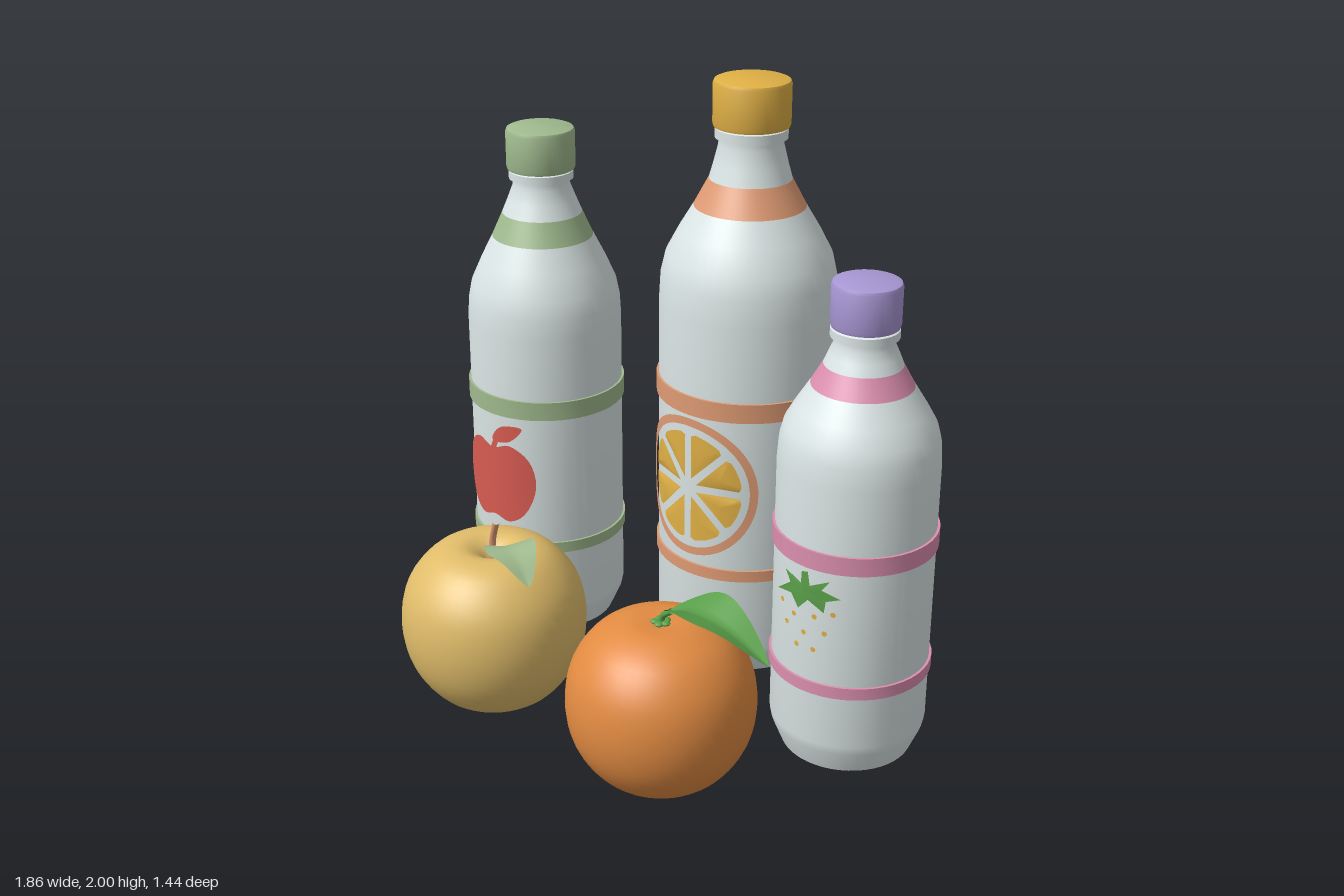
import * as THREE from 'three';
import { toCreasedNormals, mergeGeometries } from 'three/addons/utils/BufferGeometryUtils.js';

const mat = (name, color, side = THREE.FrontSide) => {
  const m = new THREE.MeshStandardMaterial({ color, side });
  m.name = name;
  return m;
};
const V2 = (p) => new THREE.Vector2(p[0], p[1]);
const V3 = (p) => new THREE.Vector3(p[0], p[1], p[2]);

export function createModel() {
  const white = mat('bottleWhite', 0xdce6e6);
  const yellow = mat('capYellow', 0xe0b045);
  const peach = mat('peach', 0xdf9b74);
  const sage = mat('sageGreen', 0xa0ba8e, THREE.DoubleSide);
  const pink = mat('pink', 0xdb8fae);
  const purple = mat('purple', 0xa897d4);
  const red = mat('red', 0xd85c52);
  const golden = mat('goldenFruit', 0xe0bc6a);
  const orange = mat('orangeFruit', 0xe28b42);
  const leafGreen = mat('leafGreen', 0x5a9f4a, THREE.DoubleSide);

  const model = new THREE.Group();
  const add = (parent, name, geo, material) => {
    const mesh = new THREE.Mesh(geo, material);
    mesh.name = name;
    parent.add(mesh);
    return mesh;
  };
  // profile of [radius, height] points, listed from bottom to top
  const lathe = (pts, crease = 0.5) =>
    toCreasedNormals(new THREE.LatheGeometry(pts.map(V2), 48), crease);

  // --- printed pictures: flat (u, v) sheets wrapped round a bottle ---
  const wrap = (geo, R, cy) => {
    const p = geo.attributes.position;
    for (let i = 0; i < p.count; i++) {
      const a = p.getX(i) / R;
      p.setXYZ(i, R * Math.sin(a), cy + p.getY(i), R * Math.cos(a));
    }
    geo.computeVertexNormals();
    return geo;
  };
  // counter-clockwise outline filled by rings growing from a centre point
  const patch = (outline, c, rings = 6) => {
    const pos = [], idx = [], n = outline.length;
    for (let k = 0; k <= rings; k++)
      for (const [x, y] of outline)
        pos.push(c[0] + (x - c[0]) * k / rings, c[1] + (y - c[1]) * k / rings, 0);
    for (let k = 0; k < rings; k++)
      for (let i = 0; i < n; i++) {
        const j = (i + 1) % n, a = k * n, b = a + n;
        if (k > 0) idx.push(a + i, b + j, a + j);
        idx.push(a + i, b + i, b + j);
      }
    const g = new THREE.BufferGeometry();
    g.setAttribute('position', new THREE.Float32BufferAttribute(pos, 3));
    g.setIndex(idx);
    return g;
  };
  const smooth = (pts, n = 48) =>
    new THREE.CatmullRomCurve3(pts.map(([x, y]) => new THREE.Vector3(x, y, 0)), true)
      .getPoints(n).slice(0, n).map((p) => [p.x, p.y]);

  // --- bottles ---
  function bottle({ name, x, z, R, base, shoulder, band, neck, cap, capR, stripes, trim, capMat }) {
    const g = new THREE.Group();
    g.name = name;
    g.position.set(x, 0, z);
    add(g, 'body', lathe([[0, 0], [base, 0], [R - 0.006, 0.08], [R, 0.11], ...shoulder, band[0]], 0.6), white);
    add(g, 'shoulderBand', lathe(band), trim);
    const [nr, ny] = neck;
    add(g, 'neck', lathe([band[1], [(band[1][0] + nr) / 2, (band[1][1] * 0.6 + ny * 0.4)], [nr, ny - 0.02],
      [nr, ny], [nr + 0.012, ny + 0.003], [nr + 0.012, cap[0] - 0.006], [nr, cap[0]], [nr, cap[0] + 0.02]]), white);
    const [c0, c1] = cap;
    add(g, 'cap', lathe([[nr, c0], [capR - 0.003, c0], [capR, c0 + 0.01], [capR, c1 - 0.014],
      [capR - 0.004, c1 - 0.004], [capR - 0.014, c1], [0, c1]]), capMat);
    for (const [y0, y1] of stripes)
      add(g, 'stripe', lathe([[R, y0], [R + 0.008, y0], [R + 0.008, y1], [R, y1]]), trim);
    model.add(g);
    return g;
  }

  const appleBottle = bottle({
    name: 'appleBottle', x: -0.66, z: -0.16, R: 0.262, base: 0.22,
    shoulder: [[0.262, 1.12], [0.258, 1.19], [0.246, 1.25], [0.21, 1.33]],
    band: [[0.17, 1.41], [0.134, 1.49]], neck: [0.096, 1.605], cap: [1.64, 1.78], capR: 0.115,
    stripes: [[0.33, 0.37], [0.835, 0.9]], trim: sage, capMat: sage,
  });
  const citrusBottle = bottle({
    name: 'citrusBottle', x: 0.02, z: -0.42, R: 0.293, base: 0.25,
    shoulder: [[0.293, 1.27], [0.288, 1.36], [0.272, 1.43], [0.23, 1.51]],
    band: [[0.182, 1.59], [0.134, 1.68]], neck: [0.105, 1.81], cap: [1.85, 2.0], capR: 0.125,
    stripes: [[0.37, 0.41], [0.95, 1.015]], trim: peach, capMat: yellow,
  });
  const berryBottle = bottle({
    name: 'berryBottle', x: 0.67, z: -0.145, R: 0.249, base: 0.21,
    shoulder: [[0.249, 0.99], [0.244, 1.06], [0.231, 1.11], [0.2, 1.165]],
    band: [[0.156, 1.235], [0.12, 1.3]], neck: [0.092, 1.385], cap: [1.42, 1.56], capR: 0.106,
    stripes: [[0.29, 0.33], [0.72, 0.78]], trim: pink, capMat: purple,
  });

  // apple picture
  const aR = 0.272;
  const apple = patch(smooth([[0, 0.125], [-0.07, 0.145], [-0.14, 0.1], [-0.165, 0], [-0.12, -0.11],
    [-0.06, -0.145], [0, -0.13], [0.06, -0.145], [0.12, -0.11], [0.165, 0], [0.14, 0.1], [0.07, 0.145]]), [0, 0]);
  const appleStem = patch([[-0.012, 0.12], [0.012, 0.12], [0.035, 0.175], [0.012, 0.175]], [0.01, 0.15], 2);
  const appleLeaf = patch(smooth([[0.0, 0.155], [0.07, 0.16], [0.12, 0.215], [0.05, 0.215], [0.015, 0.19]], 24), [0.05, 0.188], 3);
  for (const g of [apple, appleStem, appleLeaf]) add(appleBottle, 'applePicture', wrap(g, aR, 0.585), red);

  // citrus slice picture
  const cR = 0.303, cy = 0.693;
  add(citrusBottle, 'slicePeel', wrap(new THREE.RingGeometry(0.219, 0.247, 64, 1), cR, cy), peach);
  const wedges = [];
  for (let k = 0; k < 8; k++) {
    const mid = (k + 0.5) * Math.PI / 4, out = [];
    const at = (r, a) => [r * Math.cos(mid + a), r * Math.sin(mid + a)];
    out.push(at(0.035, 0));
    for (let i = 0; i <= 8; i++) out.push(at(i % 8 ? 0.194 : 0.185, (i / 4 - 1) * 0.325));
    wedges.push(patch(out, at(0.13, 0), 4));
  }
  add(citrusBottle, 'sliceSegments', wrap(mergeGeometries(wedges), cR, cy), yellow);

  // strawberry picture
  const bR = 0.259, by = 0.53;
  const berry = patch(smooth([[0.01, -0.145], [-0.06, -0.09], [-0.125, 0.01], [-0.14, 0.07], [-0.09, 0.115], [0, 0.1],
    [0.09, 0.125], [0.15, 0.08], [0.13, 0.0], [0.07, -0.1]]), [0, 0.01]);
  add(berryBottle, 'berryPicture', wrap(berry, bR, by), red);
  const crown = patch([[-0.12, 0.07], [-0.05, 0.085], [-0.02, 0.045], [0.015, 0.085], [0.07, 0.055], [0.075, 0.095],
    [0.12, 0.11], [0.06, 0.13], [0.085, 0.165], [0.02, 0.135], [0.012, 0.18], [-0.01, 0.175], [-0.012, 0.135],
    [-0.08, 0.155], [-0.055, 0.12]], [0, 0.108], 4);
  add(berryBottle, 'berryCrown', wrap(crown, bR + 0.002, by), leafGreen);
  const seeds = [[-0.09, 0.045], [-0.035, 0.02], [0.04, 0.035], [0.1, 0.055], [-0.065, -0.02],
    [0.005, -0.03], [0.075, -0.015], [-0.02, -0.08], [0.04, -0.08]].map(([x, y]) =>
    new THREE.CircleGeometry(0.009, 8).translate(x, y, 0));
  add(berryBottle, 'berrySeeds', wrap(mergeGeometries(seeds), bR + 0.003, by), yellow);

  // --- fruit ---
  const fruit = (name, x, z, pts, material) => {
    const g = new THREE.Group();
    g.name = name;
    g.position.set(x, 0, z);
    const profile = new THREE.SplineCurve(pts.map(V2)).getPoints(40);
    profile.forEach((p) => { p.x = Math.max(p.x, 0); });
    add(g, 'flesh', new THREE.LatheGeometry(profile, 48), material);
    model.add(g);
    return g;
  };
  const tube = (pts, r) => new THREE.TubeGeometry(new THREE.CatmullRomCurve3(pts.map(V3)), 12, r, 8);

  // leaf folded in a V along a curved midrib
  const leaf = (pts, halfWidth, fold, wave) => {
    const curve = new THREE.CatmullRomCurve3(pts.map(V3));
    const geo = new THREE.PlaneGeometry(1, 1, 8, 20), p = geo.attributes.position;
    const up = new THREE.Vector3(0, 1, 0);
    for (let i = 0; i < p.count; i++) {
      const t = p.getY(i) + 0.5, s = p.getX(i) * 2;
      const c = curve.getPoint(t);
      const side = curve.getTangent(t).cross(up).normalize();
      const w = halfWidth * Math.pow(Math.sin(Math.PI * Math.pow(t, 0.85)), 0.8);
      c.addScaledVector(side, s * w);
      c.y += (w / halfWidth) * (fold * Math.abs(s) + wave * s * Math.sin(t * 9));
      p.setXYZ(i, c.x, c.y, c.z);
    }
    geo.computeVertexNormals();
    return geo;
  };

  const goldenApple = fruit('goldenApple', -0.37, 0.41, [[0, 0.06], [0.04, 0.04], [0.11, 0.003], [0.2, 0.04],
    [0.278, 0.15], [0.305, 0.285], [0.28, 0.42], [0.2, 0.52], [0.11, 0.55], [0.045, 0.525], [0, 0.47]], golden);
  add(goldenApple, 'stem', tube([[0, 0.47, 0], [0.005, 0.57, 0], [0.035, 0.65, 0.01]], 0.011), peach);
  add(goldenApple, 'appleLeaf', leaf([[0.03, 0.545, 0], [0.1, 0.595, 0.03], [0.2, 0.61, 0.085], [0.32, 0.575, 0.15]], 0.078, 0.012, 0.012), sage);

  const orangeFruit = fruit('orangeFruit', 0.362, 0.415, [[0, 0.02], [0.06, 0.008], [0.12, 0.004], [0.21, 0.06],
    [0.275, 0.16], [0.296, 0.28], [0.275, 0.4], [0.21, 0.495], [0.12, 0.543], [0.05, 0.548], [0, 0.54]], orange);
  add(orangeFruit, 'stalk', tube([[0, 0.53, 0], [0.005, 0.57, 0], [0.04, 0.6, 0]], 0.01), leafGreen);
  for (let k = 0; k < 5; k++) {
    const sepal = add(orangeFruit, 'sepal', new THREE.SphereGeometry(0.015, 8, 6), leafGreen);
    const a = k * Math.PI * 0.4;
    sepal.scale.y = 0.5;
    sepal.position.set(0.018 * Math.cos(a), 0.55, 0.018 * Math.sin(a));
  }
  add(orangeFruit, 'orangeLeaf', leaf([[0.025, 0.595, 0], [0.13, 0.635, 0.008], [0.26, 0.632, 0.015], [0.43, 0.575, 0.025]], 0.09, 0.035, 0.006), leafGreen);

  return model;
}
